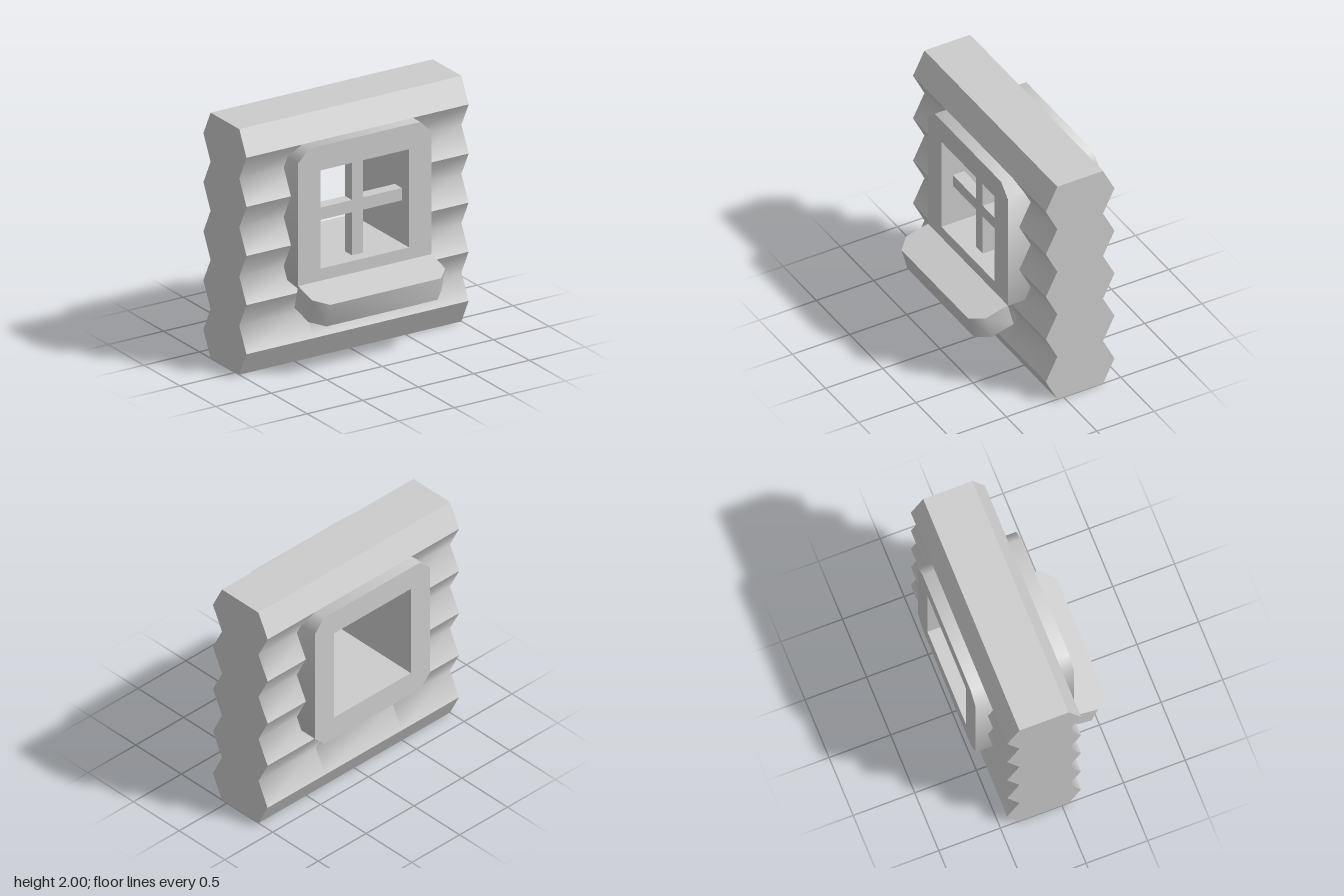
import * as THREE from 'three';
import { mergeGeometries, toCreasedNormals } from 'three/addons/utils/BufferGeometryUtils.js';

const VALLEY = 0.2, PEAK = 0.3; // half depths of the log wall
const MID_Z = -0.145;           // middle plane of the wall

// half depth at height y: peaks at 0.2, 0.6, 1.0, 1.4, 1.8
const halfDepth = (y) => (Math.round(y * 5) % 2 ? PEAK : VALLEY);

// ridged strip through the given heights (top to bottom), smooth across its valley
function strip(ys, x0, x1, back) {
  const g = new THREE.PlaneGeometry(x1 - x0, 1, 1, ys.length - 1);
  const p = g.attributes.position;
  for (let i = 0; i < p.count; i++) {
    const y = ys[Math.floor(i / 2)];
    p.setXYZ(i, p.getX(i) + (x0 + x1) / 2, y, halfDepth(y));
  }
  g.computeVertexNormals();
  if (back) g.rotateY(Math.PI);
  return g;
}

function wallGeometry() {
  const parts = [];
  const bands = [[2, 1.8], [1.8, 1.6, 1.4], [1.4, 1.2, 1], [1, 0.8, 0.6], [0.6, 0.4, 0.2], [0.2, 0]];
  // the middle column leaves the window opening free
  const middle = [[2, 1.8], [1.8, 1.6], [0.8, 0.6], [0.6, 0.4, 0.2], [0.2, 0]];
  for (const back of [false, true]) {
    for (const ys of bands) parts.push(strip(ys, -1, -0.4, back), strip(ys, 0.4, 1, back));
    for (const ys of middle) parts.push(strip(ys, -0.4, 0.4, back));
  }
  // flat top and bottom
  parts.push(new THREE.PlaneGeometry(2, 2 * VALLEY).rotateX(-Math.PI / 2).translate(0, 2, 0));
  parts.push(new THREE.PlaneGeometry(2, 2 * VALLEY).rotateX(Math.PI / 2));
  // zigzag ends
  const right = [], left = [];
  for (let i = 0; i <= 10; i++) {
    const y = i * 0.2;
    right.push(new THREE.Vector2(halfDepth(y), y));
    left.unshift(new THREE.Vector2(-halfDepth(y), y));
  }
  const profile = new THREE.Shape([...right, ...left]);
  for (const s of [-1, 1]) {
    parts.push(new THREE.ShapeGeometry(profile).rotateY(s * Math.PI / 2).translate(s, 0, 0));
  }
  return mergeGeometries(parts);
}

const polygon = (pts) => pts.map(([x, y]) => new THREE.Vector2(x, y));

// centred extrusion with softened chamfers and sharp right angles
function extrude(shape, depth) {
  const g = new THREE.ExtrudeGeometry(shape, { depth, bevelEnabled: false });
  return toCreasedNormals(g.translate(0, 0, -depth / 2), Math.PI / 3);
}

export function createModel() {
  const model = new THREE.Group();
  model.name = 'windowWall';
  const material = new THREE.MeshStandardMaterial({ color: 0xcccccc });
  const add = (name, geometry, x, y, z) => {
    const mesh = new THREE.Mesh(geometry, material);
    mesh.name = name;
    mesh.position.set(x, y, z);
    model.add(mesh);
    return mesh;
  };

  add('logWall', wallGeometry(), 0, 0, MID_Z);

  // window frame: chamfered square tube right through the wall
  const frame = new THREE.Shape(polygon([
    [-0.5, -0.6], [0.5, -0.6], [0.6, -0.5], [0.6, 0.5],
    [0.5, 0.6], [-0.5, 0.6], [-0.6, 0.5], [-0.6, -0.5],
  ]));
  frame.holes.push(new THREE.Path(polygon([[-0.4, -0.4], [-0.4, 0.4], [0.4, 0.4], [0.4, -0.4]])));
  add('windowFrame', extrude(frame, 0.8), 0, 1.2, MID_Z);

  // crossbars near the front of the opening
  add('verticalBar', new THREE.BoxGeometry(0.1, 0.8, 0.1), 0, 1.2, 0.105);
  for (const s of [-1, 1]) {
    add(s > 0 ? 'leftBar' : 'rightBar', new THREE.BoxGeometry(0.35, 0.1, 0.1), s * 0.225, 1.2, 0.105);
  }

  // sloping sill with chamfered outer corners
  const sill = new THREE.Shape(polygon([
    [-0.6, -0.15], [0.6, -0.15], [0.6, 0.05], [0.5, 0.15], [-0.5, 0.15], [-0.6, 0.05],
  ]));
  add('windowSill', extrude(sill, 0.2).rotateX(Math.PI / 2), 0, 0.567, 0.375)
    .rotation.x = THREE.MathUtils.degToRad(15);

  return model;
}
